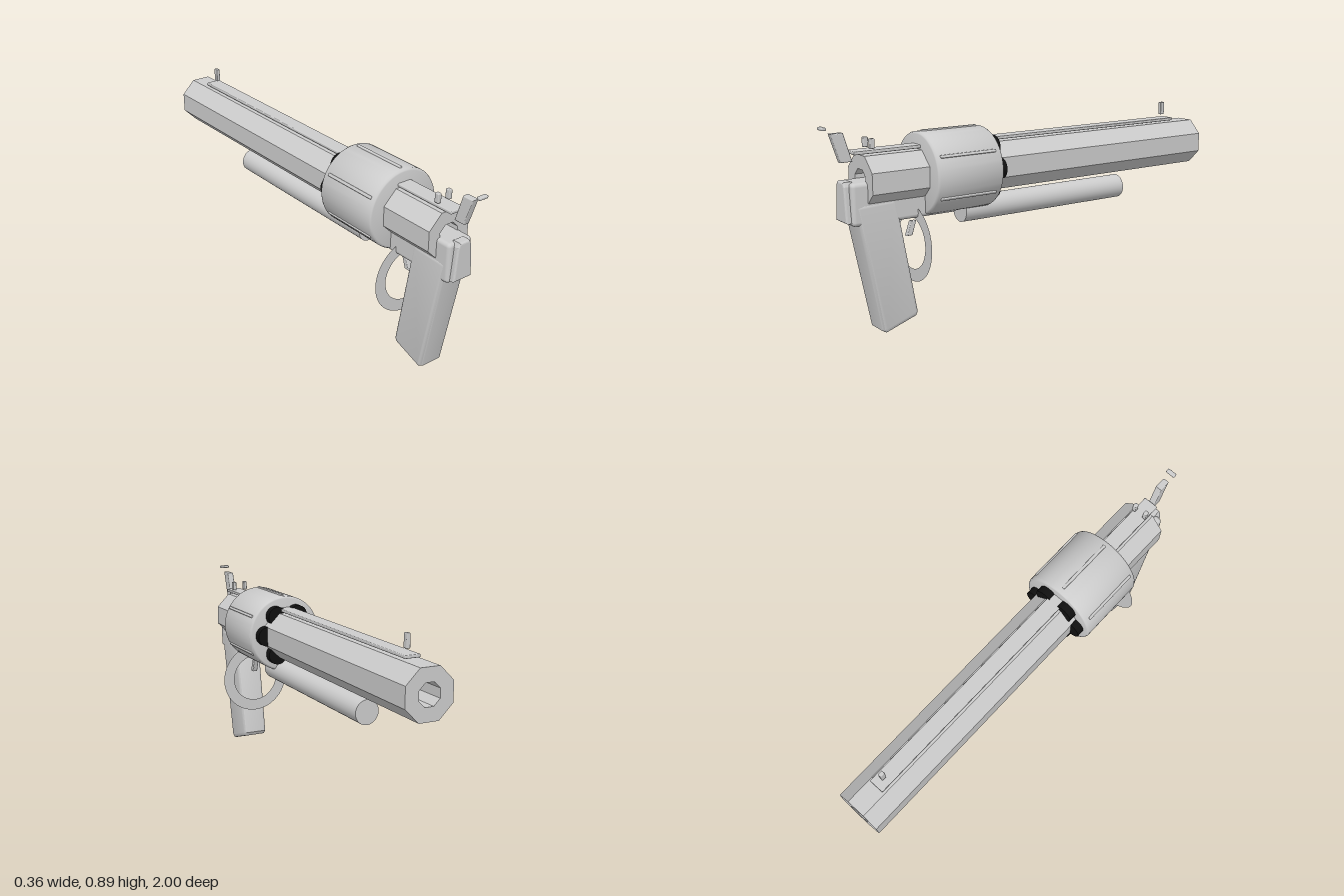
import * as THREE from 'three';
import { toCreasedNormals } from 'three/addons/utils/BufferGeometryUtils.js';
import { RoundedBoxGeometry } from 'three/addons/geometries/RoundedBoxGeometry.js';

const AXIS_Y = 0.655; // height of the barrel axis

export function createModel() {
  const model = new THREE.Group();
  model.name = 'revolver';
  const steel = new THREE.MeshStandardMaterial({ color: 0xcccccc });
  steel.name = 'grey steel';
  const ringSteel = new THREE.MeshStandardMaterial({ color: 0xcccccc, side: THREE.DoubleSide });
  ringSteel.name = 'grey steel double sided';
  const black = new THREE.MeshStandardMaterial({ color: 0x101010 });
  black.name = 'chamber black';

  const add = (name, geometry, material = steel, x = 0, y = 0, z = 0) => {
    const mesh = new THREE.Mesh(geometry, material);
    mesh.name = name;
    mesh.position.set(x, y, z);
    model.add(mesh);
    return mesh;
  };
  // Rounded block given by its extents
  const block = (name, x0, x1, y0, y1, z0, z1, r) => add(name,
    new RoundedBoxGeometry(x1 - x0, y1 - y0, z1 - z0, 2, r), steel,
    (x0 + x1) / 2, (y0 + y1) / 2, (z0 + z1) / 2);
  // Bevelled extrusion centred on its depth, keeping the outline size
  const slab = (points, depth, bevel) => {
    const shape = new THREE.Shape(points.map(([a, b]) => new THREE.Vector2(a, b)));
    const g = new THREE.ExtrudeGeometry(shape, {
      depth: depth - 2 * bevel, bevelEnabled: bevel > 0, bevelSize: bevel,
      bevelThickness: bevel, bevelOffset: -bevel, bevelSegments: 3,
    });
    return g.translate(0, 0, bevel - depth / 2);
  };
  // Side profile in (z, y), spread across x
  const sideSlab = (points, width, bevel) => slab(points, width, bevel).rotateY(-Math.PI / 2);
  const octagon = (apothem) => Array.from({ length: 8 }, (_, i) => {
    const a = (i + 0.5) * Math.PI / 4, r = apothem / Math.cos(Math.PI / 8);
    return new THREE.Vector2(r * Math.cos(a), r * Math.sin(a));
  });

  // Octagonal barrel with an open bore, running back through the drum
  const barrelShape = new THREE.Shape(octagon(0.106));
  barrelShape.holes.push(new THREE.Path(octagon(0.047).reverse()));
  add('barrel', new THREE.ExtrudeGeometry(barrelShape, { depth: 1.83, bevelEnabled: false }),
    steel, 0, AXIS_Y, -1);

  // Drum with softened rims
  const drumProfile = [[0, 0], [0.168, 0], [0.174, 0.002], [0.178, 0.01],
    [0.178, 0.315], [0.174, 0.323], [0.168, 0.325], [0, 0.325]]
    .map(([r, y]) => new THREE.Vector2(r, y));
  add('drum', toCreasedNormals(new THREE.LatheGeometry(drumProfile, 64).rotateX(Math.PI / 2), 0.8),
    steel, 0, AXIS_Y, 0.24);

  // Six raised strips and six dark chambers around the drum
  for (let i = 0; i < 6; i++) {
    const a = i * Math.PI / 3, s = a + Math.PI / 6;
    const strip = add('drumStrip', new RoundedBoxGeometry(0.016, 0.014, 0.275, 2, 0.004),
      steel, 0.176 * Math.cos(s), AXIS_Y + 0.176 * Math.sin(s), 0.405);
    strip.rotation.z = s;
    add('chamber', new THREE.CylinderGeometry(0.046, 0.046, 0.05, 24).rotateX(Math.PI / 2),
      black, 0.105 * Math.cos(a), AXIS_Y + 0.105 * Math.sin(a), 0.23);
  }

  // Rod tube under the barrel
  add('rodTube', new THREE.CylinderGeometry(0.055, 0.055, 0.9, 32).rotateX(Math.PI / 2),
    steel, 0, 0.47, -0.095);

  // Top rib and sights
  block('topRib', -0.035, 0.035, 0.767, 0.781, -0.88, 0.87, 0.004);
  block('frontSight', -0.009, 0.009, 0.797, 0.858, -0.848, -0.824, 0.004);
  for (const side of [-1, 1]) {
    add('rearSight', new RoundedBoxGeometry(0.018, 0.042, 0.022, 2, 0.004),
      steel, side * 0.029, 0.807, 0.789);
  }

  // Frame and tapered back plate
  block('frame', -0.063, 0.063, 0.478, 0.657, 0.4, 0.9, 0.018);
  add('backPlate', slab([[-0.049, 0.493], [0.049, 0.493], [0.036, 0.642], [0.026, 0.661],
    [-0.026, 0.661], [-0.036, 0.642]], 0.045, 0.008), steel, 0, 0, 0.9);

  // Hammer and thumb spur
  add('hammer', sideSlab([[0.92, 0.738], [0.868, 0.738], [0.905, 0.858], [0.96, 0.858]], 0.03, 0.005));
  block('hammerSpur', -0.023, 0.023, 0.874, 0.887, 0.98, 1, 0.005);

  // Slanted grip, slightly narrower at the foot
  const grip = sideSlab([[0.885, 0.56], [0.85, 0.569], [0.71, 0.572], [0.697, 0.558],
    [0.606, 0.068], [0.615, 0.05], [0.758, 0.002], [0.776, 0.012]], 0.13, 0.016);
  const p = grip.attributes.position;
  for (let i = 0; i < p.count; i++) p.setX(i, p.getX(i) * (0.92 + 0.14 * p.getY(i)));
  grip.computeVertexNormals();
  add('grip', toCreasedNormals(grip, 0.6));

  // Trigger and flat guard ring
  add('trigger', sideSlab([[0.604, 0.455], [0.58, 0.455], [0.6, 0.393], [0.626, 0.393]], 0.024, 0.004));
  add('triggerGuard', new THREE.RingGeometry(0.115, 0.17, 48), ringSteel, 0, 0.36, 0.6);

  return model;
}
